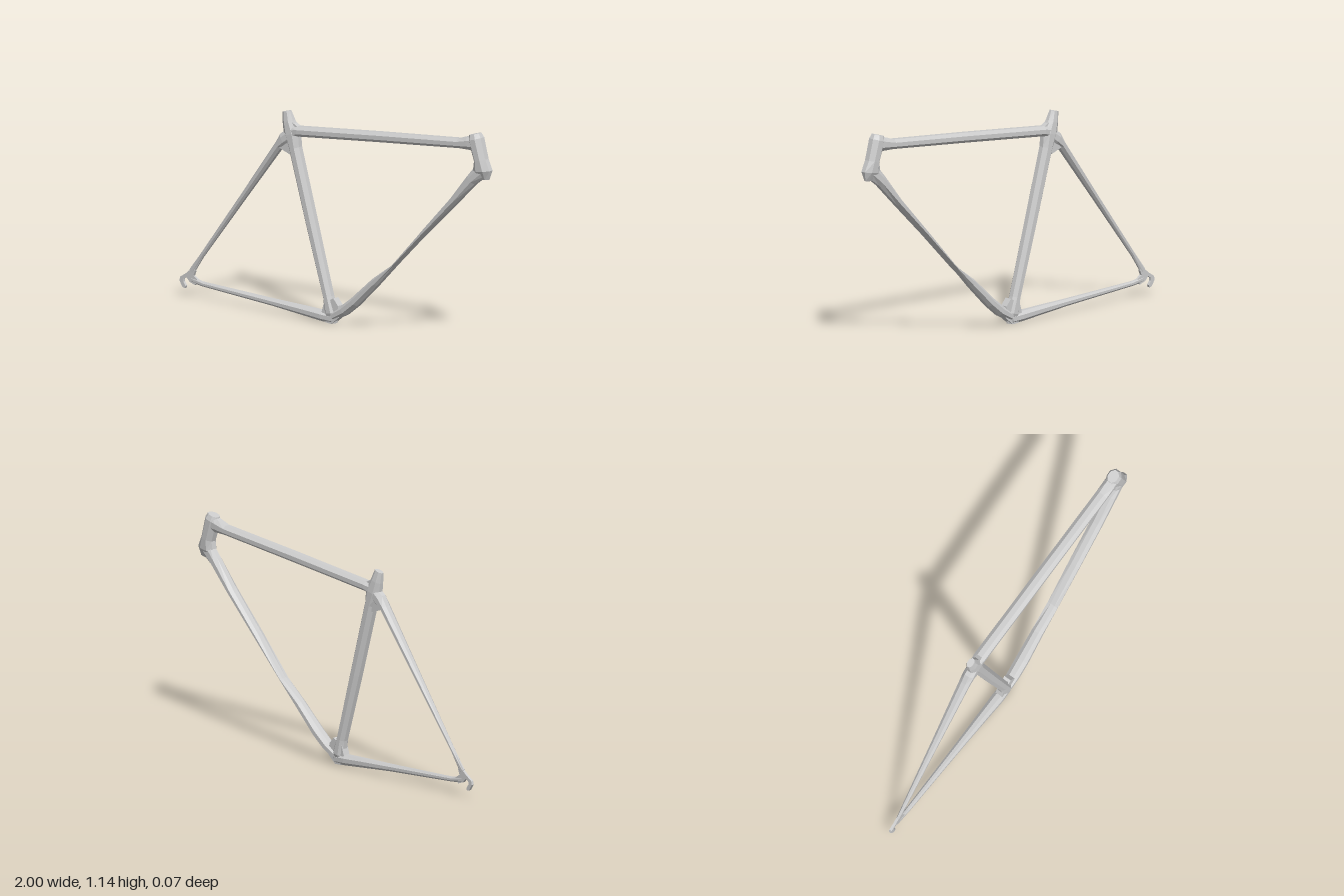
import * as THREE from 'three';

const SIDES = 8;

// Closed faceted tube along stations [x, y, half height in plane, half depth in z]
function loft(stations) {
  const pos = [], idx = [], last = stations.length - 1;
  stations.forEach(([x, y, h, d], i) => {
    const p = stations[Math.max(i - 1, 0)], q = stations[Math.min(i + 1, last)];
    const len = Math.hypot(q[0] - p[0], q[1] - p[1]);
    const nx = -(q[1] - p[1]) / len, ny = (q[0] - p[0]) / len;
    for (let j = 0; j < SIDES; j++) {
      const a = ((j + 0.5) / SIDES) * Math.PI * 2;
      const c = Math.cos(a) * 1.08 * h, s = Math.sin(a) * 1.08 * d;
      pos.push(x + nx * c, y + ny * c, s);
    }
  });
  for (let i = 0; i < last; i++) {
    for (let j = 0; j < SIDES; j++) {
      const k = (j + 1) % SIDES, a = i * SIDES + j, b = i * SIDES + k;
      idx.push(a, b, b + SIDES, a, b + SIDES, a + SIDES);
    }
  }
  // End caps
  for (let j = 1; j < SIDES - 1; j++) {
    const e = last * SIDES;
    idx.push(0, j + 1, j, e, e + j, e + j + 1);
  }
  const g = new THREE.BufferGeometry();
  g.setAttribute('position', new THREE.Float32BufferAttribute(pos, 3));
  g.setIndex(idx);
  const flat = g.toNonIndexed();
  flat.computeVertexNormals();
  return flat;
}

// Flat plate in the frame plane, centred on z = 0
function plate(points, depth) {
  const shape = new THREE.Shape(points.map(([x, y]) => new THREE.Vector2(x, y)));
  return new THREE.ExtrudeGeometry(shape, { depth, bevelEnabled: false }).translate(0, 0, -depth / 2);
}

export function createModel() {
  const group = new THREE.Group();
  const grey = new THREE.MeshStandardMaterial({ color: 0xcccccc, flatShading: true });
  grey.name = 'frameGrey';
  const add = (name, geometry) => {
    const mesh = new THREE.Mesh(geometry, grey);
    mesh.name = name;
    group.add(mesh);
  };

  // Main triangle
  add('seatTube', loft([
    [-0.314, 1.062, 0.025, 0.016], [-0.3, 1.01, 0.034, 0.026], [-0.278, 0.95, 0.047, 0.032],
    [-0.258, 0.88, 0.033, 0.032], [-0.15, 0.5, 0.031, 0.032], [-0.045, 0.14, 0.027, 0.03],
    [-0.025, 0.06, 0.036, 0.031], [-0.016, 0.006, 0.024, 0.012],
  ]));
  add('topTube', loft([
    [-0.29, 0.955, 0.036, 0.028], [-0.23, 0.97, 0.026, 0.032], [0.3, 1.022, 0.026, 0.032],
    [0.8, 1.068, 0.025, 0.032], [0.86, 1.078, 0.034, 0.032], [0.91, 1.085, 0.045, 0.03],
  ]));
  add('headTube', loft([
    [0.897, 1.13, 0.033, 0.026], [0.904, 1.105, 0.041, 0.036], [0.936, 1.0, 0.037, 0.035],
    [0.945, 0.945, 0.054, 0.032], [0.95, 0.9, 0.036, 0.01],
  ]));
  // Pinched to a flat ribbon in the middle
  add('downTube', loft([
    [0.95, 0.955, 0.04, 0.026], [0.88, 0.89, 0.03, 0.03], [0.76, 0.758, 0.02, 0.032],
    [0.57, 0.565, 0.013, 0.032], [0.385, 0.372, 0.004, 0.03], [0.26, 0.262, 0.022, 0.03],
    [0.13, 0.14, 0.026, 0.033], [0.06, 0.085, 0.027, 0.032], [-0.01, 0.045, 0.022, 0.028],
  ]));

  // Rear triangle, tapering to the dropout
  add('seatStay', loft([
    [-0.925, 0.135, 0.016, 0.008], [-0.86, 0.225, 0.011, 0.011], [-0.6, 0.565, 0.015, 0.02],
    [-0.36, 0.88, 0.021, 0.029], [-0.325, 0.915, 0.034, 0.031], [-0.27, 0.955, 0.035, 0.028],
  ]));
  add('chainStay', loft([
    [-0.925, 0.092, 0.015, 0.008], [-0.85, 0.08, 0.012, 0.011], [-0.4, 0.056, 0.018, 0.02],
    [-0.2, 0.044, 0.024, 0.026], [-0.08, 0.036, 0.027, 0.03], [-0.01, 0.032, 0.026, 0.026],
  ]));

  // Joint webs
  add('seatClusterWeb', plate([[-0.35, 0.87], [-0.28, 0.845], [-0.24, 0.95], [-0.32, 0.95]], 0.04));
  add('bottomJointWeb', plate([[-0.012, 0.006], [0.035, 0.045], [0.03, 0.105], [0, 0.14],
    [-0.06, 0.11], [-0.075, 0.06], [-0.05, 0.008]], 0.04));
  add('topTubeWeb', plate([[-0.3, 1.03], [-0.22, 0.985], [-0.22, 0.95], [-0.29, 0.95]], 0.03));

  // Dropout with its open hook
  add('dropout', plate([
    [-0.905, 0.165], [-0.9, 0.14], [-0.91, 0.115], [-0.88, 0.095], [-0.9, 0.068], [-0.935, 0.08],
    [-0.955, 0.102], [-0.975, 0.09], [-0.975, 0.075], [-0.96, 0.055], [-0.965, 0.042], [-0.98, 0.046],
    [-1, 0.078], [-0.995, 0.098], [-0.96, 0.12],
  ], 0.014));

  return group;
}
